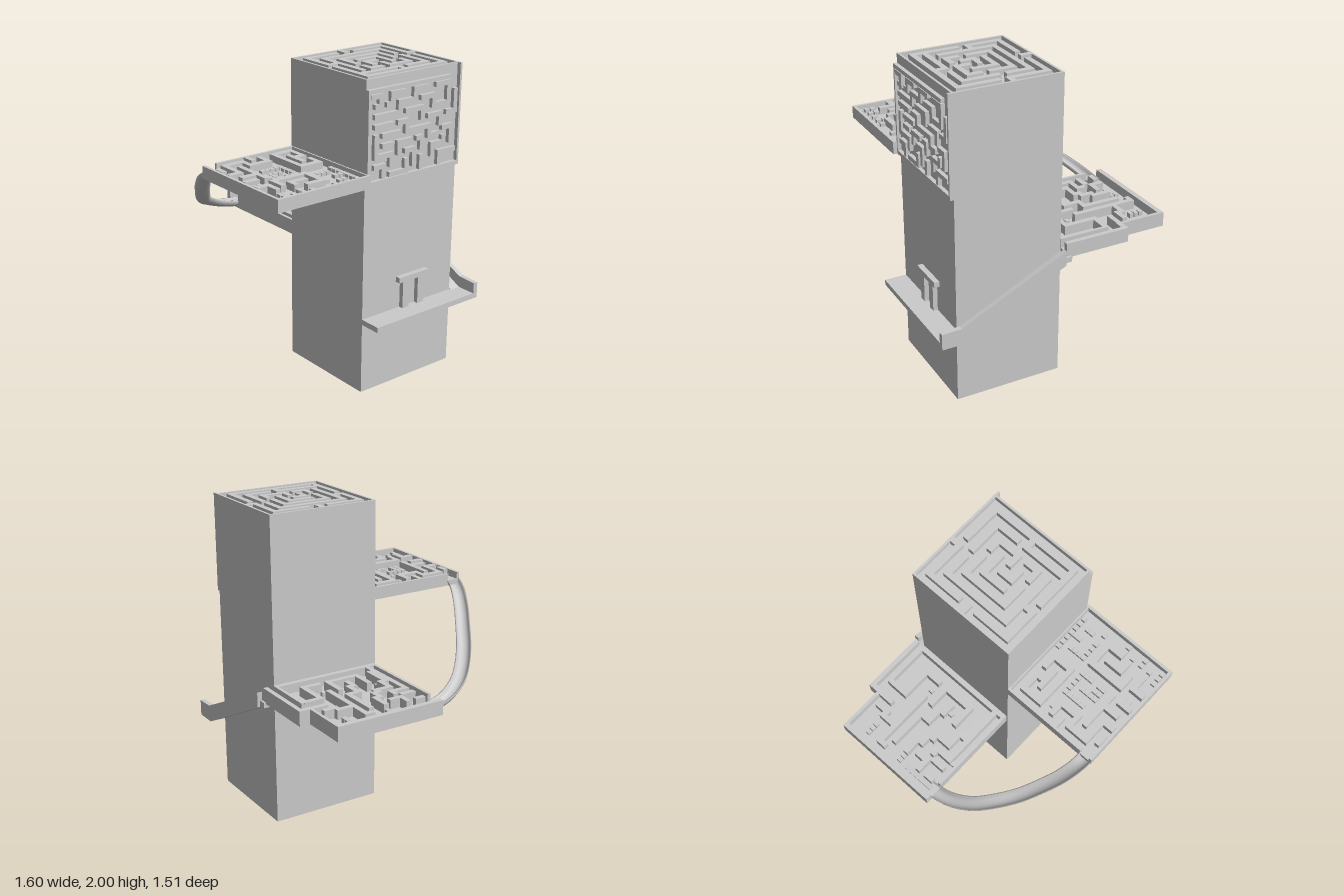
import * as THREE from 'three';
import { mergeGeometries } from 'three/addons/utils/BufferGeometryUtils.js';

const material = new THREE.MeshStandardMaterial({ color: 0xcccccc, side: THREE.DoubleSide });

// Maze walls as paths of grid corners: column, row, column, row ...
const TOP_WALLS = [
  [8, 0, 8, 1, 1, 1, 1, 7], [0, 9, 1, 9], [1, 11, 1, 17, 7, 17], [9, 17, 17, 17, 17, 1, 10, 1],
  [7, 3, 3, 3, 3, 15, 13, 15], [7, 15, 7, 16], [9, 3, 15, 3, 15, 7], [17, 9, 15, 9, 15, 16],
  [9, 5, 5, 5, 5, 13, 9, 13], [11, 5, 13, 5, 13, 9, 11, 9], [13, 11, 13, 13, 11, 13],
  [11, 7, 7, 7, 7, 11], [9, 9, 9, 11, 11, 11],
];
const SIDE_WALLS = [
  [0, 0, 2, 0, 2, 2, 1, 2], [8, 0, 5, 0, 5, 2, 4, 2], [11, 0, 14, 0], [17, 0, 20, 0, 20, 4, 16, 4, 16, 2, 13, 2],
  [11, 1, 11, 2, 7, 2, 7, 4, 1, 4], [22, 2, 22, 6, 20, 6], [9, 4, 13, 4, 13, 6], [1, 6, 5, 6],
  [7, 6, 9, 6, 9, 8, 14, 8], [15, 6, 18, 6, 18, 8], [3, 8, 7, 8], [1, 8, 1, 12, 5, 12, 5, 14],
  [3, 10, 5, 10], [10, 10, 7, 10, 7, 12], [12, 10, 13, 10, 13, 12], [15, 8, 15, 10, 17, 10],
  [19, 9, 21, 9, 21, 12], [19, 11, 19, 12, 16, 12, 16, 14], [9, 12, 11, 12, 11, 15],
  [1, 14, 3, 14, 3, 16], [5, 16, 9, 16, 9, 14], [13, 14, 13, 16], [22, 14, 18, 14, 18, 16],
];
const LOW_WALLS = [
  [8, 0, 8, 2], [11, 0, 11, 3, 17, 3, 17, 6], [13, 6, 1, 6, 1, 7], [6, 1, 6, 3, 5, 3, 5, 6],
  [3, 8, 10, 8, 10, 10, 13, 10, 13, 11, 15, 11], [13, 8, 17, 8, 17, 14, 13, 14],
  [3, 11, 6, 11, 6, 12, 8, 12, 8, 13, 9, 13, 9, 16, 12, 16, 12, 17, 17, 17],
  [4, 13, 4, 15, 2, 15], [6, 15, 7, 15, 7, 18, 19, 18], [5, 16, 5, 18], [2, 17, 2, 18],
];
const FRONT_WALLS = [
  [6, 1, 8, 1, 8, 5, 1, 5, 1, 1, 4, 1, 4, 3], [3, 3, 6, 3], [15, 10, 15, 7, 11, 7, 11, 14, 13, 14],
  [13, 9, 13, 12, 14, 12], [1, 8, 3, 8, 3, 12, 1, 12, 1, 16, 5, 16, 5, 18], [0, 10, 1, 10],
  [3, 14, 9, 14], [7, 14, 7, 17], [9, 16, 9, 18], [2, 18, 3, 18], [14, 16, 12, 16, 12, 18],
];

// Rows of small posts: first and last grid cell
const LOW_POSTS = [[1, 3, 3, 3], [1, 11, 5, 11], [15, 6, 15, 6], [14, 12, 14, 12], [13, 16, 13, 16], [7, 19, 7, 19]];
const FRONT_POSTS = [
  [10, 0, 16, 0], [13, 1, 13, 2], [11, 2, 11, 5], [15, 2, 15, 3], [12, 5, 14, 5], [16, 5, 16, 5],
  [2, 7, 2, 7], [5, 7, 9, 7], [9, 8, 9, 9], [5, 8, 5, 11], [7, 9, 7, 10], [7, 11, 9, 12],
  [16, 10, 17, 10], [15, 12, 16, 12], [16, 14, 17, 14], [15, 16, 16, 16], [15, 18, 17, 18], [10, 16, 10, 17],
];

// Box from min and max corners
function boxGeo(x0, x1, y0, y1, z0, z1) {
  return new THREE.BoxGeometry(x1 - x0, y1 - y0, z1 - z0)
    .translate((x0 + x1) / 2, (y0 + y1) / 2, (z0 + z1) / 2);
}

function add(group, name, ...geometries) {
  const mesh = new THREE.Mesh(mergeGeometries(geometries), material);
  mesh.name = name;
  group.add(mesh);
  return mesh;
}

// One box for each straight stretch of wall; w and d are the cell size
function mazeWalls(paths, w, d, height) {
  const parts = [];
  for (const p of paths) for (let i = 0; i + 3 < p.length; i += 2) {
    const [c0, r0, c1, r1] = p.slice(i, i + 4);
    parts.push(boxGeo(Math.min(c0, c1) * w, (Math.max(c0, c1) + 1) * w, 0, height,
      Math.min(r0, r1) * d, (Math.max(r0, r1) + 1) * d));
  }
  return mergeGeometries(parts);
}

// One small post in each cell of the given blocks
function mazePosts(blocks, w, d, height) {
  const parts = [];
  for (const [c0, r0, c1, r1] of blocks)
    for (let c = c0; c <= c1; c++) for (let r = r0; r <= r1; r++)
      parts.push(boxGeo((c + 0.1) * w, (c + 0.9) * w, 0, height, (r + 0.05) * d, (r + 0.95) * d));
  return mergeGeometries(parts);
}

// Side profile in x and y, given thickness in z
function slab(points, z0, z1) {
  const shape = new THREE.Shape(points.map(([x, y]) => new THREE.Vector2(x, y)));
  return new THREE.ExtrudeGeometry(shape, { depth: z1 - z0, bevelEnabled: false }).translate(0, 0, z0);
}

// Open half-round gutter swept along a path, its cross-section kept upright
function gutter(points, outer, inner) {
  const curve = new THREE.CatmullRomCurve3(points.map(p => new THREE.Vector3(...p)));
  const steps = 24, arc = 8, positions = [], index = [], ring = [];
  for (let i = 0; i <= arc; i++) ring.push([outer, Math.PI * (1 + i / arc)]);
  for (let i = arc; i >= 0; i--) ring.push([inner, Math.PI * (1 + i / arc)]);
  const n = ring.length;
  for (let s = 0; s <= steps; s++) {
    const p = curve.getPointAt(s / steps), t = curve.getTangentAt(s / steps);
    const side = new THREE.Vector3(-t.z, 0, t.x).normalize();
    for (const [r, a] of ring) {
      const k = r * Math.cos(a);
      positions.push(p.x + side.x * k, p.y + r * Math.sin(a), p.z + side.z * k);
    }
  }
  for (let s = 0; s < steps; s++) for (let i = 0; i < n; i++) {
    const a = s * n + i, b = s * n + (i + 1) % n;
    index.push(a, a + n, b, b, a + n, b + n);
  }
  const g = new THREE.BufferGeometry();
  g.setAttribute('position', new THREE.Float32BufferAttribute(positions, 3));
  g.setIndex(index);
  g.computeVertexNormals();
  return g;
}

export function createModel() {
  const model = new THREE.Group();
  model.name = 'mazeTower';

  // Tower with a sunken maze on its top
  add(model, 'tower', boxGeo(-0.05, 0.655, 0, 1.965, -0.65, 0.09));
  add(model, 'towerRim',
    boxGeo(-0.05, -0.035, 1.965, 2, -0.65, 0.09), boxGeo(0.64, 0.655, 1.965, 2, -0.65, 0.09),
    boxGeo(-0.05, 0.655, 1.965, 2, -0.65, -0.635), boxGeo(-0.05, 0.655, 1.965, 2, 0.075, 0.09));
  add(model, 'topMaze', mazeWalls(TOP_WALLS, 0.675 / 19, 0.71 / 19, 0.035)).position.set(-0.035, 1.965, -0.635);

  // Upright maze on the left face of the tower
  add(model, 'sideMazeRim',
    boxGeo(0.65, 0.68, 1.36, 1.385, -0.65, 0.09), boxGeo(0.65, 0.68, 1.36, 1.94, 0.075, 0.09),
    boxGeo(0.65, 0.68, 1.36, 2, -0.65, -0.635), boxGeo(0.65, 0.68, 1.915, 1.94, -0.56, 0.09));
  const upright = new THREE.Matrix4().makeBasis(
    new THREE.Vector3(0, 0, -1), new THREE.Vector3(1, 0, 0), new THREE.Vector3(0, -1, 0));
  add(model, 'sideMaze', mazeWalls(SIDE_WALLS, 0.03, 0.52 / 17, 0.03).applyMatrix4(upright))
    .position.set(0.65, 1.91, 0.07);

  // Front platform, its rim open where the slide leaves
  add(model, 'frontPlatform', boxGeo(-0.05, 0.705, 1.36, 1.395, 0.09, 0.755));
  add(model, 'frontPlatformRim',
    boxGeo(-0.05, -0.033, 1.36, 1.44, 0.09, 0.665), boxGeo(0.685, 0.705, 1.36, 1.44, 0.09, 0.755),
    boxGeo(-0.05, 0.705, 1.36, 1.44, 0.735, 0.755), boxGeo(-0.05, 0.705, 1.36, 1.44, 0.085, 0.1));
  const frontCell = [0.715 / 18, 0.625 / 19];
  add(model, 'frontMaze', mazeWalls(FRONT_WALLS, ...frontCell, 0.045), mazePosts(FRONT_POSTS, ...frontCell, 0.022))
    .position.set(-0.033, 1.395, 0.105);

  // Low platform at the side, with a channel round to the back
  add(model, 'lowPlatform',
    boxGeo(-0.8, -0.05, 0.84, 0.875, -0.65, 0.08), boxGeo(-0.49, -0.05, 0.84, 0.875, -0.725, -0.65));
  add(model, 'lowPlatformRim',
    boxGeo(-0.8, -0.765, 0.84, 0.935, -0.655, 0.08), boxGeo(-0.085, -0.05, 0.84, 0.935, -0.65, 0.08),
    boxGeo(-0.8, -0.455, 0.84, 0.935, -0.655, -0.635), boxGeo(-0.39, -0.05, 0.84, 0.935, -0.655, -0.635),
    boxGeo(-0.67, -0.05, 0.84, 0.935, 0.06, 0.08),
    boxGeo(-0.49, -0.455, 0.84, 0.935, -0.725, -0.64), boxGeo(-0.49, -0.05, 0.84, 0.935, -0.725, -0.695));
  const lowCell = [0.68 / 20, 0.695 / 20];
  add(model, 'lowMaze', mazeWalls(LOW_WALLS, ...lowCell, 0.06), mazePosts(LOW_POSTS, ...lowCell, 0.03))
    .position.set(-0.765, 0.875, -0.635);

  // Slide between the two platforms, with a short run-out
  add(model, 'slide', gutter([
    [-0.04, 1.4, 0.71], [-0.1, 1.365, 0.7], [-0.2, 1.27, 0.66], [-0.3, 1.18, 0.6], [-0.42, 1.09, 0.52],
    [-0.55, 1.02, 0.41], [-0.63, 0.97, 0.32], [-0.69, 0.92, 0.2], [-0.715, 0.89, 0.08], [-0.72, 0.885, 0.03],
  ], 0.048, 0.04));
  const runOut = add(model, 'slideRunOut', new THREE.BoxGeometry(0.035, 0.015, 0.22));
  runOut.position.set(-0.715, 0.878, -0.07);
  runOut.rotation.x = -0.06;

  // Ramp down the back and ledge round the corner
  add(model, 'rampFloor', slab([
    [-0.08, 0.815], [-0.05, 0.815], [0.66, 0.465], [0.8, 0.465], [0.8, 0.5], [0.67, 0.5], [-0.04, 0.85], [-0.08, 0.85],
  ], -0.74, -0.65));
  add(model, 'rampWall', slab([
    [-0.03, 0.808], [0.66, 0.465], [0.8, 0.465], [0.8, 0.57], [0.67, 0.575], [-0.03, 0.905],
  ], -0.757, -0.725));
  add(model, 'ledge', boxGeo(0.655, 0.8, 0.465, 0.5, -0.757, 0.09));

  // Gate on the ledge
  add(model, 'gate',
    boxGeo(0.65, 0.69, 0.68, 0.715, -0.425, -0.18),
    boxGeo(0.65, 0.685, 0.5, 0.68, -0.265, -0.215),
    boxGeo(0.65, 0.685, 0.5, 0.68, -0.39, -0.34));
  return model;
}
